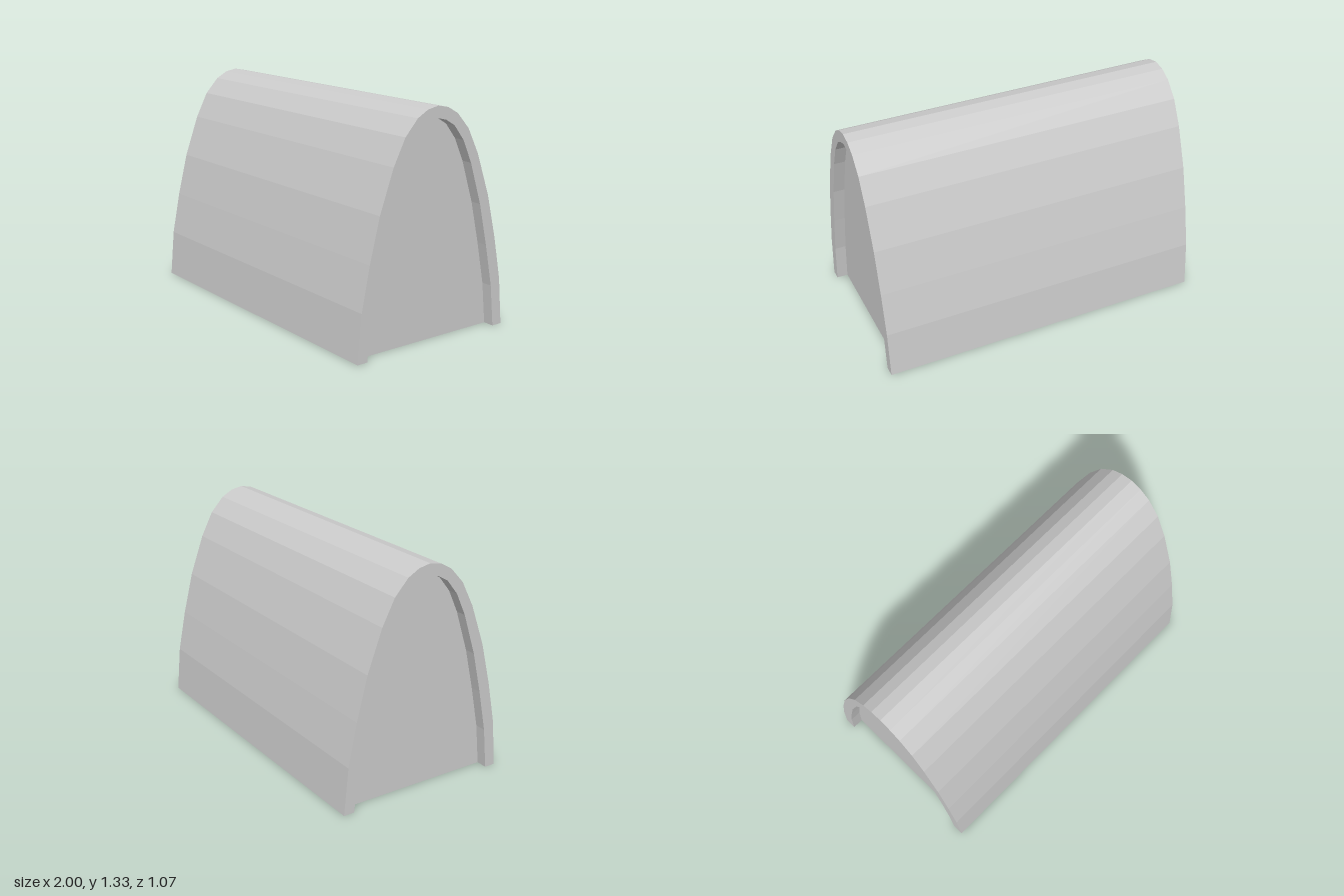
import * as THREE from 'three';

const LENGTH = 2;
const INSET = 0.067;

// Half profiles [z, y] from the foot to the crown
const OUTER = [[0.533, 0], [0.507, 0.28], [0.456, 0.535], [0.392, 0.79], [0.303, 1.036],
  [0.226, 1.186], [0.142, 1.278], [0.072, 1.317], [0, 1.331]];
const INNER = [[0.467, 0], [0.441, 0.248], [0.39, 0.5], [0.332, 0.747], [0.252, 0.992],
  [0.19, 1.126], [0.121, 1.213], [0.058, 1.25], [0, 1.264]];

// Full arch from one foot over the crown to the other
function arch(half) {
  const mirrored = half.slice(0, -1).reverse().map(([z, y]) => [-z, y]);
  return [...half, ...mirrored].map(([z, y]) => new THREE.Vector2(z, y));
}

export function createModel() {
  const group = new THREE.Group();
  group.name = 'archedShelter';
  const material = new THREE.MeshStandardMaterial({ color: 0xcccccc, flatShading: true });
  const sheetMaterial = material.clone();
  sheetMaterial.side = THREE.DoubleSide;

  // Faceted vault of constant thickness, open underneath
  const section = new THREE.Shape([...arch(OUTER), ...arch(INNER).reverse()]);
  const vault = new THREE.ExtrudeGeometry(section, { depth: LENGTH, bevelEnabled: false });
  vault.translate(0, 0, -LENGTH / 2).rotateY(Math.PI / 2);
  const shell = new THREE.Mesh(vault, material);
  shell.name = 'vaultShell';
  group.add(shell);

  // Thin end walls set back from both openings
  for (const side of [1, -1]) {
    const wall = new THREE.Mesh(new THREE.ShapeGeometry(new THREE.Shape(arch(INNER))), sheetMaterial);
    wall.name = side > 0 ? 'leftEndWall' : 'rightEndWall';
    wall.rotation.y = side * Math.PI / 2;
    wall.position.x = side * (LENGTH / 2 - INSET);
    group.add(wall);
  }
  return group;
}
